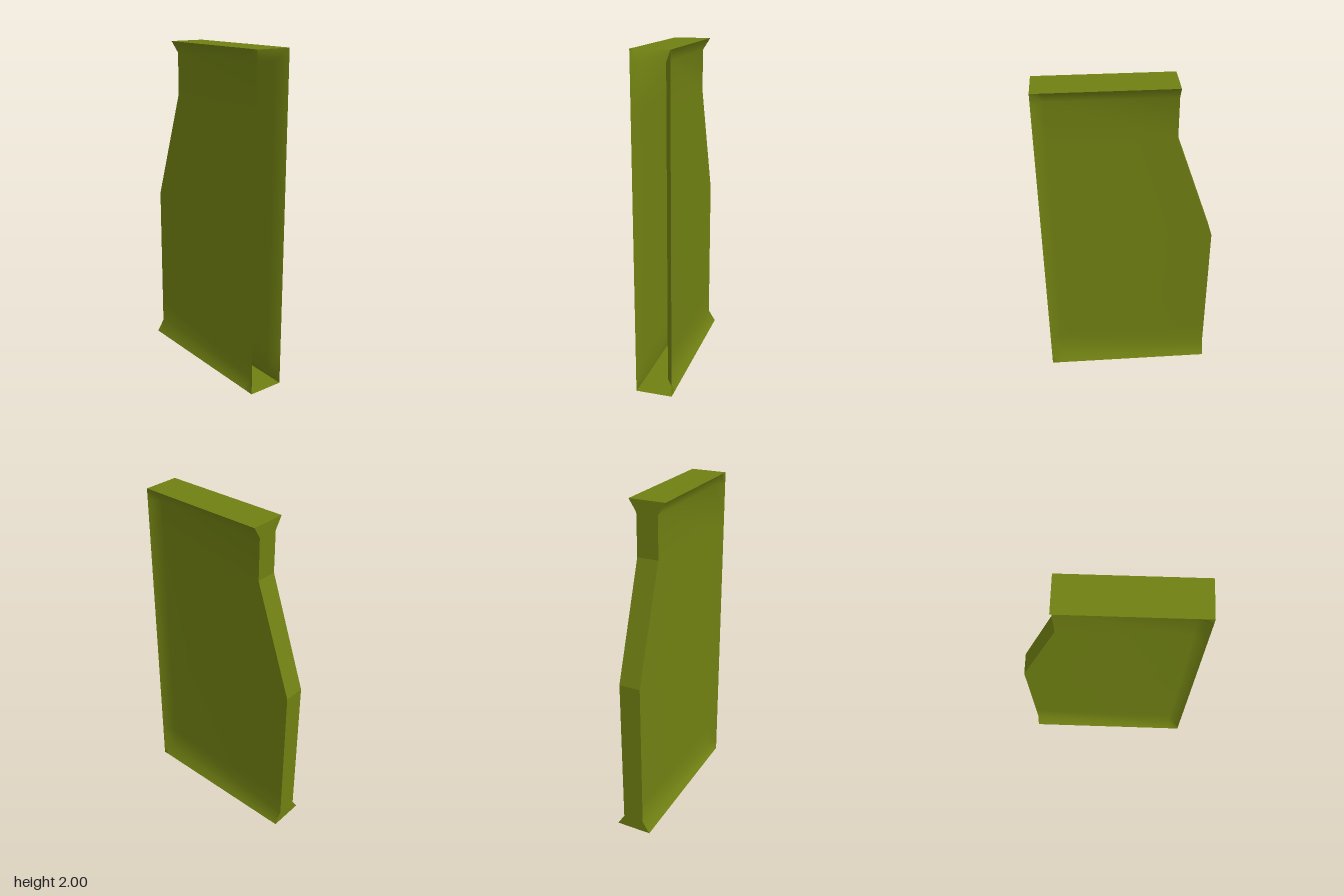
import * as THREE from 'three';

const RIGHT = 0.515, RIM = 0.07, WIDE = 0.11, THIN = 0.065;

// Surface from a grid of points (rows run down, columns run right, seen from outside)
function gridSurface(rows, flat) {
  const cols = rows[0].length, index = [];
  for (let r = 0; r < rows.length - 1; r++) {
    for (let c = 0; c < cols - 1; c++) {
      const a = r * cols + c, b = a + cols;
      index.push(a, b, b + 1, a, b + 1, a + 1);
    }
  }
  let geo = new THREE.BufferGeometry();
  geo.setAttribute('position', new THREE.Float32BufferAttribute(rows.flat(2), 3));
  geo.setIndex(index);
  if (flat) geo = geo.toNonIndexed();
  geo.computeVertexNormals();
  return geo;
}

export function createModel() {
  const group = new THREE.Group();
  const material = new THREE.MeshStandardMaterial({ color: 0x708012, side: THREE.DoubleSide });
  const add = (name, rows, flat = true) => {
    const mesh = new THREE.Mesh(gridSurface(rows, flat), material);
    mesh.name = name;
    group.add(mesh);
  };

  // Outline of the stepped edge, from top to bottom: [x, y, half thickness]
  const edge = [
    [-0.28, 2, WIDE], [-0.28, 2 - RIM, THIN], [-0.28, 1.68, THIN],
    [-RIGHT, 1, THIN], [-RIGHT, 0.22, THIN], [-RIGHT, RIM, THIN], [-RIGHT, 0, WIDE],
  ];

  // Broad walls, pinched inside a rim that flares out at top, bottom and open end
  const wall = edge.map(([x, y, w]) => [[x, y, w], [RIGHT - RIM, y, w], [RIGHT, y, WIDE]]);
  add('frontWall', wall, false);
  add('backWall', wall.map((row) => row.map(([x, y, z]) => [x, y, -z]).reverse()), false);

  // Narrow wall following the stepped edge
  add('steppedSideWall', edge.map(([x, y, w]) => [[x, y, -w], [x, y, w]]));

  // Flat caps; the side opposite the step stays open
  add('topCap', [-WIDE, WIDE].map((z) => [[-0.28, 2, z], [RIGHT, 2, z]]));
  add('bottomCap', [WIDE, -WIDE].map((z) => [[-RIGHT, 0, z], [RIGHT, 0, z]]));
  return group;
}
